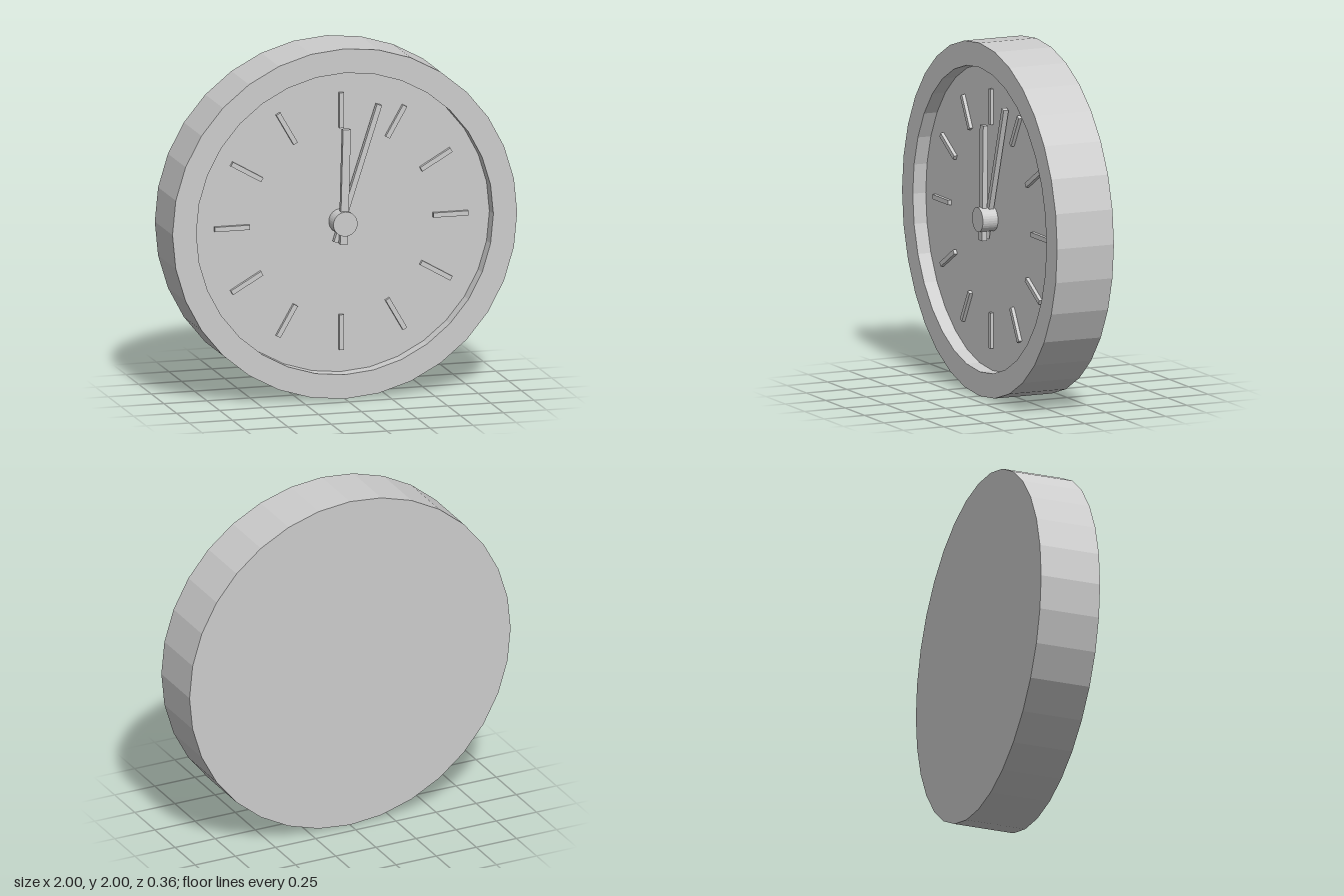
import * as THREE from 'three';

const SIDES = 32;
const FLOOR = 0.09; // z of the dial

export function createModel() {
  const clock = new THREE.Group();
  clock.name = 'wallClock';
  const grey = new THREE.MeshStandardMaterial({ color: 0xcccccc, flatShading: true });
  grey.name = 'lightGrey';

  // everything turns about the dial centre, one unit above the ground
  const face = new THREE.Group();
  face.name = 'clockBody';
  face.position.y = 1;
  clock.add(face);

  const add = (name, geometry) => {
    const mesh = new THREE.Mesh(geometry, grey);
    mesh.name = name;
    face.add(mesh);
    return mesh;
  };

  // radial bar from radius r0 to r1, turned clockwise by degrees from twelve
  const bar = (name, width, r0, r1, z0, z1, degrees) => {
    const g = new THREE.BoxGeometry(width, r1 - r0, z1 - z0);
    g.translate(0, (r0 + r1) / 2, (z0 + z1) / 2);
    add(name, g).rotation.z = -THREE.MathUtils.degToRad(degrees);
  };

  // case: flat back, rim and recessed dial
  const profile = [[0, -0.18], [1, -0.18], [1, 0.17], [0.862, 0.17], [0.862, FLOOR], [0, FLOOR]]
    .map(([r, z]) => new THREE.Vector2(r, z));
  add('caseAndDial', new THREE.LatheGeometry(profile, SIDES).rotateX(Math.PI / 2));

  // hour markers
  for (let i = 0; i < 12; i++) bar('hourMarker' + (i + 1), 0.027, 0.533, 0.735, FLOOR, FLOOR + 0.02, (i + 1) * 30);

  // hands at three minutes past twelve
  bar('minuteHand', 0.03, -0.12, 0.69, 0.1, 0.13, 18);
  bar('hourHand', 0.045, -0.12, 0.535, 0.135, 0.165, 1.5);

  // centre hub
  const hub = new THREE.CylinderGeometry(0.07, 0.07, 0.183 - FLOOR, SIDES).rotateX(Math.PI / 2);
  add('hub', hub).position.z = (0.183 + FLOOR) / 2;

  return clock;
}
